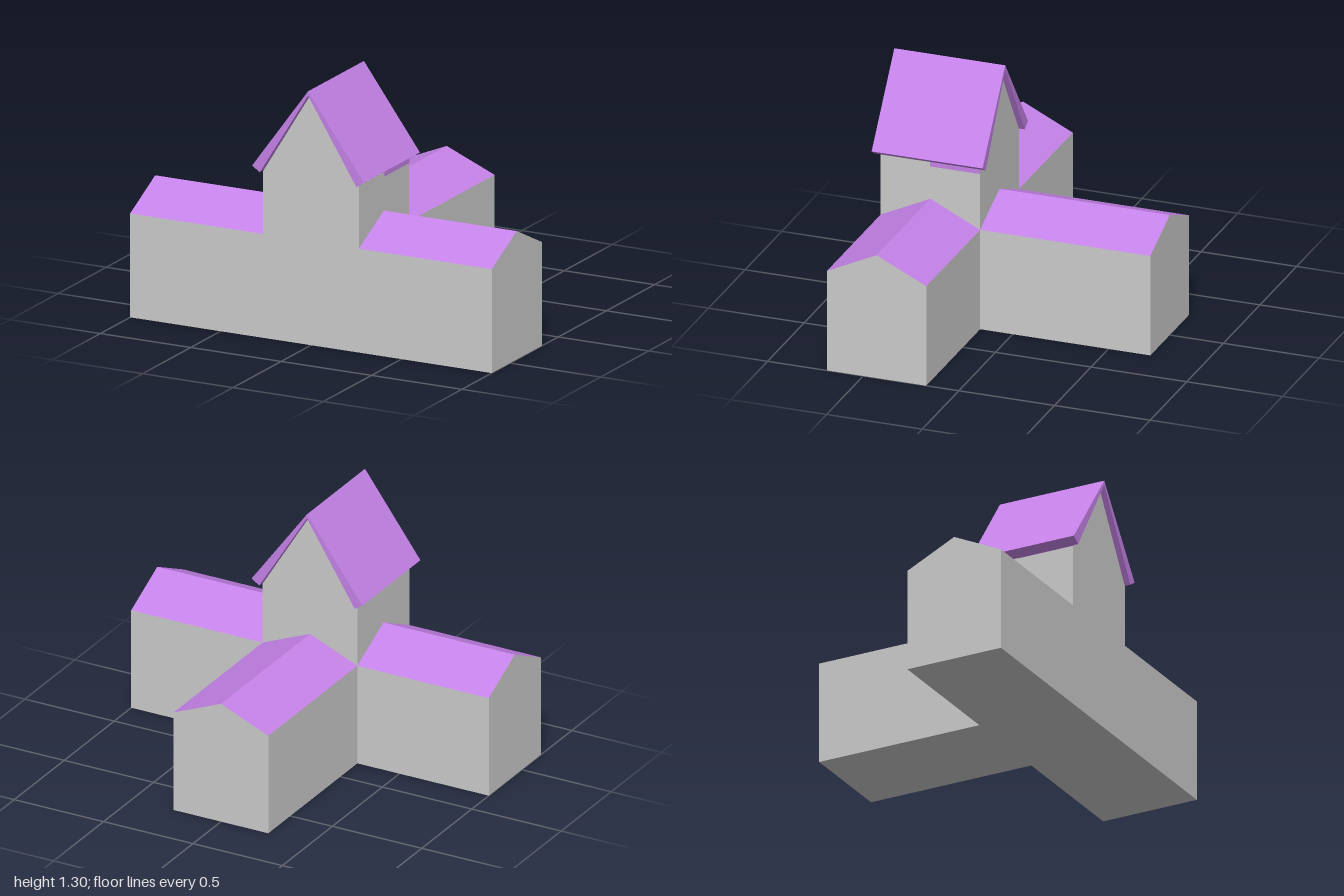
import * as THREE from 'three';

const grey = new THREE.MeshStandardMaterial({ color: 0xcccccc, side: THREE.DoubleSide, flatShading: true });
const purple = new THREE.MeshStandardMaterial({ color: 0xc582e8, side: THREE.DoubleSide, flatShading: true });

// One mesh from convex polygons, each listed counter-clockwise from outside
function faces(name, polygons, material) {
  const pos = [];
  for (const p of polygons)
    for (let i = 1; i < p.length - 1; i++) pos.push(...p[0], ...p[i], ...p[i + 1]);
  const g = new THREE.BufferGeometry();
  g.setAttribute('position', new THREE.Float32BufferAttribute(pos, 3));
  g.computeVertexNormals();
  const m = new THREE.Mesh(g, material);
  m.name = name;
  return m;
}

// Gabled block: half width w, running along z from z0 (joined end) to z1 (gable end)
function hall(name, w, eave, ridge, z0, z1, { roof = true, backGable = false } = {}) {
  const group = new THREE.Group();
  group.name = name;
  const outline = [[-w, 0], [w, 0], [w, eave], [0, ridge], [-w, eave]];
  const strip = i => {
    const [a, b] = [outline[i], outline[(i + 1) % 5]];
    return [[...a, z1], [...a, z0], [...b, z0], [...b, z1]];
  };
  const walls = [outline.map(p => [...p, z1]), strip(0), strip(1), strip(4)];
  if (backGable) walls.push(outline.map(p => [...p, z0]).reverse());
  group.add(faces(name + 'Walls', walls, grey));
  if (roof) group.add(faces(name + 'Roof', [strip(2), strip(3)], purple));
  return group;
}

export function createModel() {
  const model = new THREE.Group();
  model.name = 'church';
  const W = 0.265, zMid = 0.43, zBack = 0.17;

  // Side wings, mirrored about the tower
  for (const [name, s] of [['leftWing', 1], ['rightWing', -1]]) {
    const wing = hall(name, 0.26, 0.53, 0.655, W, 1);
    wing.rotation.y = s * Math.PI / 2;
    wing.position.z = zMid;
    model.add(wing);
  }

  // Rear wing
  const rear = hall('rearWing', W, 0.53, 0.64, -zBack, 0.72);
  rear.rotation.y = Math.PI;
  model.add(rear);

  // Tower with its steep gables
  model.add(hall('tower', W, 0.85, 1.28, zBack, 0.69, { roof: false, backGable: true }));

  // Overhanging tower roof, thinner towards the ridge
  const profile = [[0, 1.303], [-0.31, 0.88], [-0.267, 0.852], [0, 1.28], [0.267, 0.852], [0.31, 0.88]];
  const shape = new THREE.Shape(profile.map(p => new THREE.Vector2(...p)));
  const roof = new THREE.Mesh(new THREE.ExtrudeGeometry(shape, { depth: 0.58, bevelEnabled: false }), purple);
  roof.position.z = 0.14;
  roof.name = 'towerRoof';
  model.add(roof);

  // Coloured strip on the wall below the eave
  const x = W + 0.002;
  model.add(faces('eaveStrip', [[[x, 0.828, zMid], [x, 0.828, zBack], [x, 0.853, zBack], [x, 0.853, zMid]]], purple));
  return model;
}
